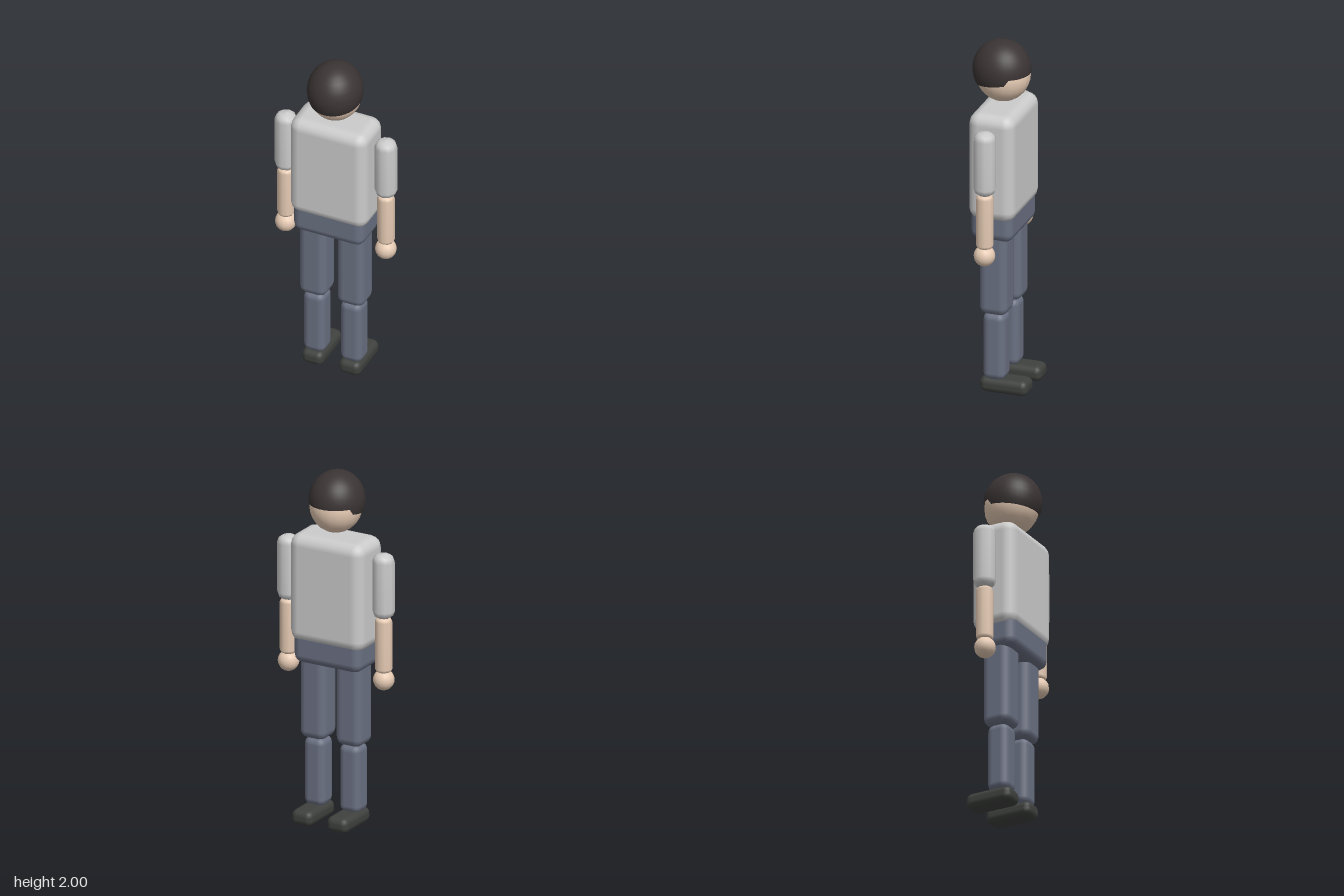
import * as THREE from 'three';
import { RoundedBoxGeometry } from 'three/addons/geometries/RoundedBoxGeometry.js';

const paint = (color, side = THREE.FrontSide) => new THREE.MeshStandardMaterial({ color, side });

// Hair cap: a sphere whose lower edge is high over the face and drops towards the nape
function hairGeometry(centreY, radiusY) {
  const geo = new THREE.SphereGeometry(1, 40, 10);
  const { position, normal, uv } = geo.attributes;
  for (let i = 0; i < position.count; i++) {
    const phi = uv.getX(i) * Math.PI * 2;
    const row = Math.floor(i / 41) / 10;
    const back = Math.sin(phi);
    const edgeY = back < -0.4 ? 1.825 : 1.79 - 0.025 * (back + 0.4);
    const theta = row * Math.acos((edgeY - centreY) / radiusY);
    const p = [-Math.cos(phi) * Math.sin(theta), Math.cos(theta), back * Math.sin(theta)];
    position.setXYZ(i, ...p);
    normal.setXYZ(i, ...p);
  }
  // The last row is a pole in the base sphere, so close its missing triangles
  const index = [];
  for (let r = 0; r < 10; r++) {
    for (let c = 0; c < 40; c++) {
      const a = r * 41 + c, b = a + 41;
      if (r > 0) index.push(a + 1, a, b + 1);
      index.push(a, b, b + 1);
    }
  }
  geo.setIndex(index);
  return geo;
}

// Ten-sided limb with rounded ends
function limbGeometry(radius, height, cap) {
  const h = height / 2;
  const end = [[0, 0], [0.55, 0.13], [0.85, 0.42], [1, 1]];
  const lower = end.map(([r, y]) => new THREE.Vector2(r * radius, -h + y * cap));
  const upper = end.map(([r, y]) => new THREE.Vector2(r * radius, h - y * cap)).reverse();
  return new THREE.LatheGeometry([...lower, ...upper], 10);
}

export function createModel() {
  const model = new THREE.Group();
  model.name = 'standingFigure';
  const shirt = paint(0xcccccc);
  const skin = paint(0xe6cbb4);
  const trousers = paint(0x6b7183);
  const shoe = paint(0x3e413e);
  const hair = paint(0x3b3434, THREE.DoubleSide);

  const add = (name, geometry, material, x, y, z) => {
    const mesh = new THREE.Mesh(geometry, material);
    mesh.name = name;
    mesh.position.set(x, y, z);
    model.add(mesh);
    return mesh;
  };
  const block = (w, h, d, r) => new RoundedBoxGeometry(w, h, d, 2, r);

  // Head and hair
  add('head', new THREE.SphereGeometry(1, 20, 14), skin, 0, 1.805, 0.01).scale.set(0.143, 0.15, 0.149);
  add('hair', hairGeometry(1.835, 0.165), hair, 0, 1.835, 0.018).scale.set(0.152, 0.165, 0.161);

  // Trunk
  add('torso', block(0.46, 0.62, 0.265, 0.065), shirt, 0, 1.33, 0.008);
  add('pelvis', block(0.42, 0.22, 0.24, 0.05), trousers, 0, 1.01, 0.01);

  // Arms and legs, mirrored; the figure faces -z
  for (const [side, s] of [['left', 1], ['right', -1]]) {
    add(side + 'UpperArm', limbGeometry(0.062, 0.37, 0.045), shirt, s * 0.297, 1.397, 0.008);
    add(side + 'Forearm', limbGeometry(0.048, 0.32, 0.025), skin, s * 0.297, 1.06, 0.008);
    add(side + 'Hand', new THREE.SphereGeometry(0.059, 14, 10), skin, s * 0.297, 0.86, 0.01);
    add(side + 'Thigh', block(0.16, 0.5, 0.16, 0.045), trousers, s * 0.112, 0.71, 0.008);
    add(side + 'Shin', block(0.127, 0.39, 0.127, 0.04), trousers, s * 0.11, 0.27, 0.009);
    add(side + 'Shoe', block(0.13, 0.088, 0.275, 0.036), shoe, s * 0.11, 0.044, -0.047);
  }
  return model;
}
